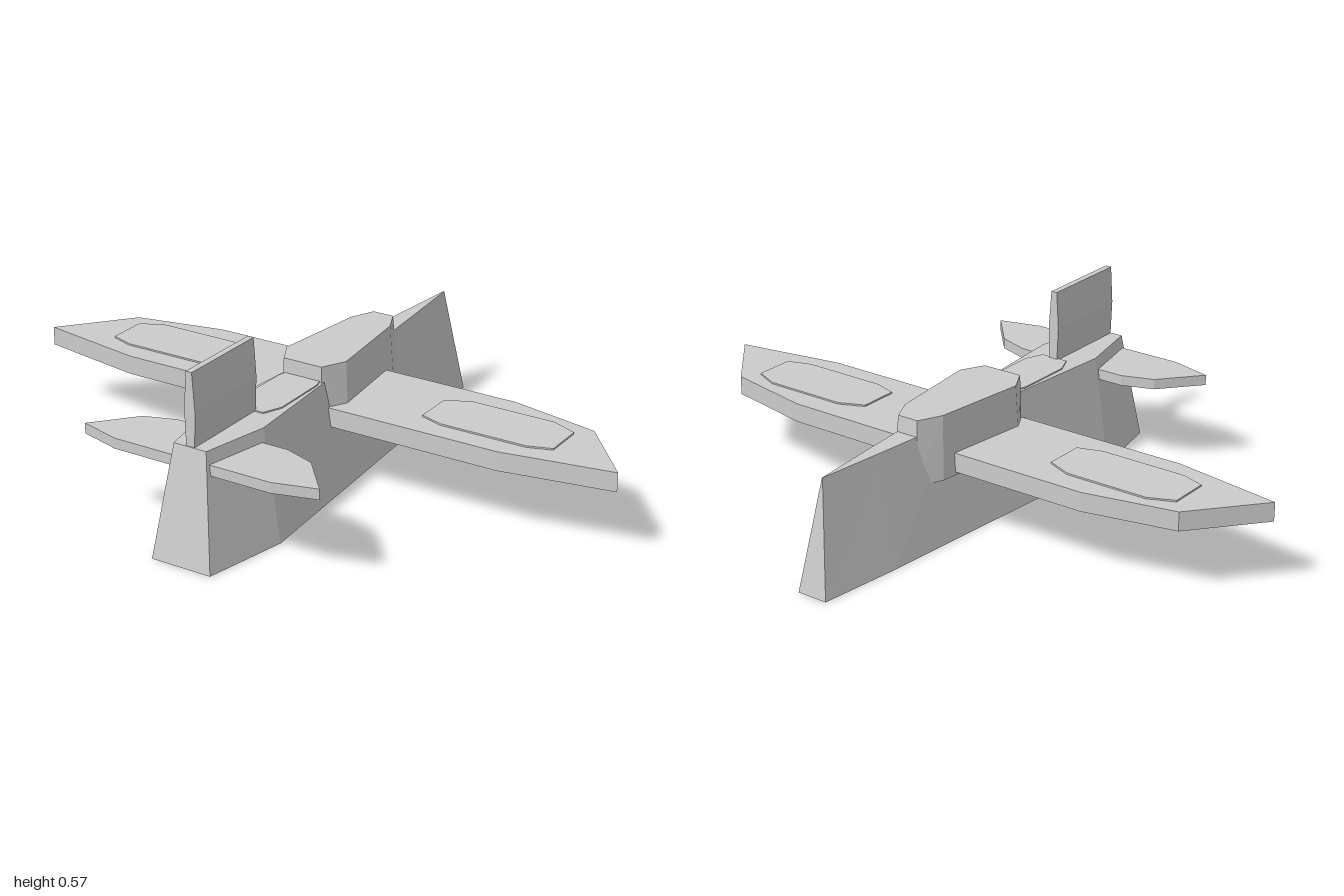
import * as THREE from 'three';

const material = new THREE.MeshStandardMaterial({
  color: 0xcccccc, flatShading: true, side: THREE.DoubleSide,
});

// Solid between two mirrored outlines. Each outline lists [z, halfWidth] from back to front.
function loft(name, yBottom, bottom, yTop, top = bottom) {
  const pos = [];
  const quad = (a, b, c, d) => pos.push(...a, ...b, ...c, ...a, ...c, ...d);
  const rings = bottom.map(([zb, wb], i) => {
    const [zt, wt] = top[i];
    return {
      bl: [-wb, yBottom, zb], br: [wb, yBottom, zb],
      tl: [-wt, yTop, zt], tr: [wt, yTop, zt],
    };
  });
  for (let i = 0; i < rings.length - 1; i++) {
    const p = rings[i], q = rings[i + 1];
    quad(p.tl, q.tl, q.tr, p.tr);
    quad(p.bl, p.br, q.br, q.bl);
    quad(p.br, p.tr, q.tr, q.br);
    quad(p.bl, q.bl, q.tl, p.tl);
  }
  const s = rings[0], e = rings[rings.length - 1];
  quad(s.bl, s.tl, s.tr, s.br);
  quad(e.bl, e.br, e.tr, e.tl);
  const geometry = new THREE.BufferGeometry();
  geometry.setAttribute('position', new THREE.Float32BufferAttribute(pos, 3));
  geometry.computeVertexNormals();
  const mesh = new THREE.Mesh(geometry, material);
  mesh.name = name;
  return mesh;
}

export function createModel() {
  const model = new THREE.Group();
  model.name = 'aircraft';

  // Tapered hull, wide at the floor and pointed at one end
  model.add(loft('fuselage',
    0, [[-0.763, 0.05], [-0.48, 0.08], [-0.2, 0.1], [0.49, 0.155], [0.763, 0.1]],
    0.35, [[-0.705, 0.001], [-0.48, 0.022], [-0.2, 0.047], [0.49, 0.1], [0.705, 0.055]]));

  // Cabin block
  model.add(loft('cabin',
    0.2, [[-0.345, 0.043], [-0.26, 0.08], [0.065, 0.117], [0.14, 0.073]],
    0.4, [[-0.325, 0.035], [-0.25, 0.07], [0.06, 0.105], [0.135, 0.066]]));

  // Main wing and tailplane, each one slab through the hull
  model.add(loft('mainWing', 0.21,
    [[-0.21, 0.53], [-0.15, 0.82], [0.065, 1], [0.125, 0.65]], 0.27));
  model.add(loft('tailplane', 0.277,
    [[0.502, 0.19], [0.537, 0.29], [0.665, 0.4], [0.702, 0.265]], 0.31));

  // Thin raised panels on the wing
  for (const [side, name] of [[1, 'leftWingPanel'], [-1, 'rightWingPanel']]) {
    const panel = loft(name, 0.26,
      [[-0.135, 0.135], [-0.1, 0.215], [0.03, 0.215], [0.055, 0.14]], 0.275);
    panel.position.x = side * 0.565;
    model.add(panel);
  }

  // Thin raised panel on the hull deck
  model.add(loft('deckPanel', 0.34,
    [[0.12, 0.055], [0.16, 0.068], [0.35, 0.07], [0.41, 0.045]], 0.354));

  // Upright fin, thinning toward its top
  const fin = new THREE.Group();
  fin.name = 'fin';
  fin.add(loft('finLower', 0.34, [[0.402, 0.014], [0.702, 0.014]], 0.46, [[0.402, 0.018], [0.702, 0.018]]));
  fin.add(loft('finUpper', 0.46, [[0.402, 0.018], [0.702, 0.018]], 0.575, [[0.402, 0.01], [0.702, 0.01]]));
  model.add(fin);

  return model;
}
